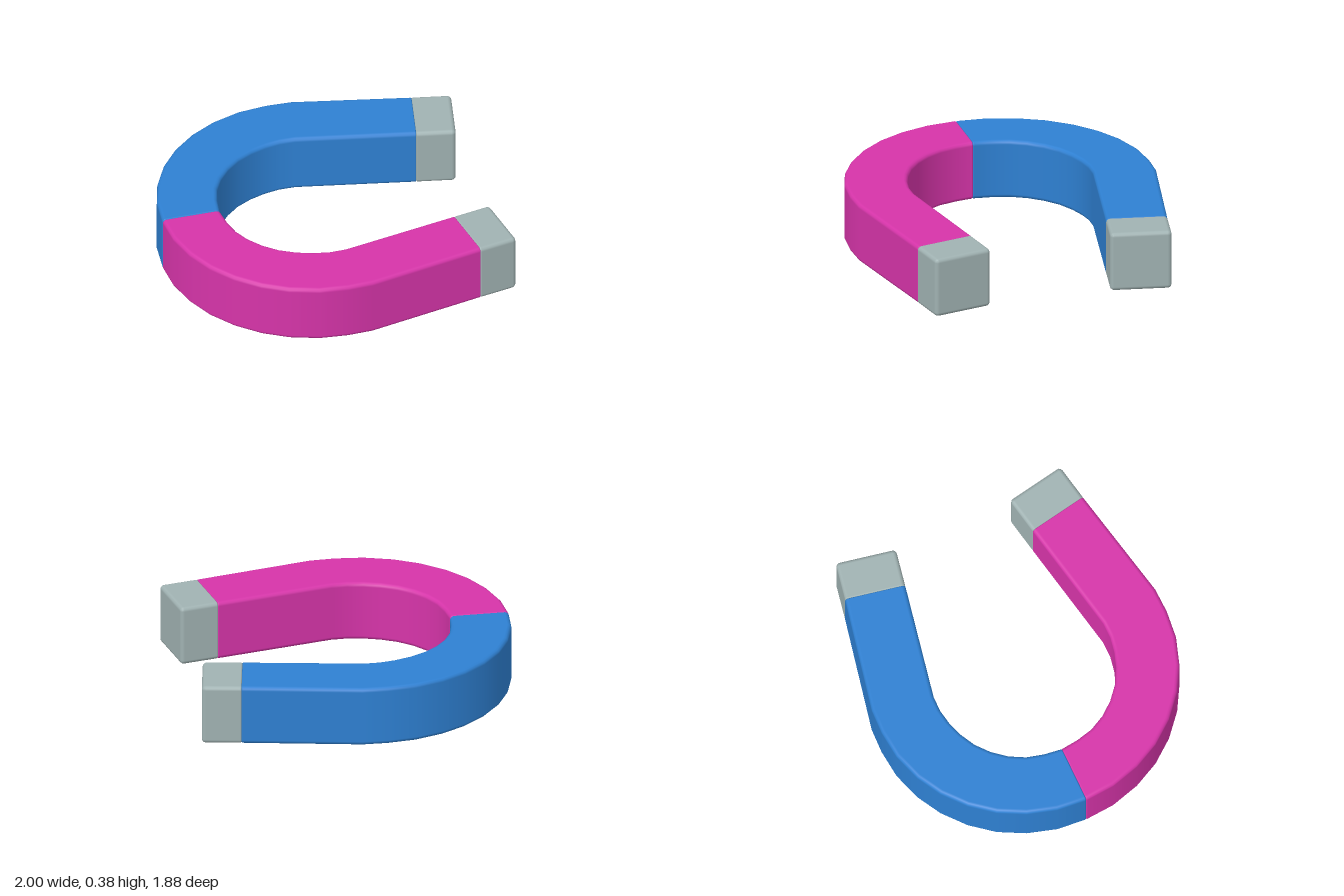
import * as THREE from 'three';

const HEIGHT = 0.375;
const EDGE = 0.025; // rounding of the long edges

// Outer and inner edge of one bent arm, as [outerX, outerZ, innerX, innerZ]
const ARM = [
  [-1, 0, -0.64, 0],
  [-0.985, -0.185, -0.627, -0.11],
  [-0.932, -0.365, -0.6, -0.215],
  [-0.85, -0.525, -0.55, -0.31],
  [-0.738, -0.665, -0.482, -0.393],
  [-0.6, -0.782, -0.4, -0.462],
  [-0.45, -0.866, -0.305, -0.512],
  [-0.275, -0.923, -0.21, -0.544],
  [-0.1, -0.941, -0.115, -0.561],
  [0.055, -0.936, -0.018, -0.56],
  [0.767, -0.787, 0.697, -0.42],
];
const TIP = [
  [0.767, -0.787, 0.697, -0.42],
  [1.002, -0.742, 0.932, -0.375],
];

// Rounded rectangle: list of [x, y, angle of normal]
function section(halfW, halfH, r) {
  const pts = [];
  [[1, 1], [-1, 1], [-1, -1], [1, -1]].forEach(([sx, sy], corner) => {
    for (let i = 0; i <= 3; i++) {
      const a = (corner + i / 3) * Math.PI / 2;
      pts.push([sx * (halfW - r) + r * Math.cos(a), sy * (halfH - r) + r * Math.sin(a), a]);
    }
  });
  return pts;
}

// Sweeps the section along the edge pairs, rounding both ends
function bar(edges, startR, endR, mirror) {
  const stations = edges.map(([ox, oz, ix, iz]) => {
    const w = Math.hypot(ox - ix, oz - iz);
    return { x: (ox + ix) / 2, z: (oz + iz) / 2, w: w / 2, ux: (ox - ix) / w, uz: (oz - iz) / w };
  });
  const rings = [];
  const last = stations.length - 1;
  const addEnd = (s, r, dir) => {
    for (let i = 0; i <= 3; i++) {
      const t = (dir < 0 ? 3 - i : i) / 3 * Math.PI / 2;
      rings.push({ s, shift: -dir * r * (1 - Math.sin(t)), inset: r * (1 - Math.cos(t)), tilt: dir * t });
    }
  };
  addEnd(stations[0], startR, -1);
  for (let i = 1; i < last; i++) rings.push({ s: stations[i], shift: 0, inset: 0, tilt: 0 });
  addEnd(stations[last], endR, 1);

  const pos = [], nor = [], idx = [];
  const flip = mirror ? -1 : 1;
  for (const { s, shift, inset, tilt } of rings) {
    const ax = -s.uz, az = s.ux; // direction along the bar
    const r = Math.max(EDGE - inset, 0.001);
    for (const [px, py, a] of section(s.w - inset, HEIGHT / 2 - inset, r)) {
      pos.push(s.x + s.ux * px + ax * shift, HEIGHT / 2 + py, flip * (s.z + s.uz * px + az * shift));
      const c = Math.cos(tilt), n = Math.sin(tilt);
      nor.push(c * Math.cos(a) * s.ux + n * ax, c * Math.sin(a), flip * (c * Math.cos(a) * s.uz + n * az));
    }
  }
  const N = 16;
  const tri = (a, b, c) => (mirror ? idx.push(a, c, b) : idx.push(a, b, c));
  for (let k = 0; k < rings.length - 1; k++) {
    for (let j = 0; j < N; j++) {
      const a = k * N + j, b = k * N + (j + 1) % N;
      tri(a, b, b + N);
      tri(a, b + N, a + N);
    }
  }
  // Flat end caps
  const e = (rings.length - 1) * N;
  for (let j = 1; j < N - 1; j++) {
    tri(0, j + 1, j);
    tri(e, e + j, e + j + 1);
  }
  const g = new THREE.BufferGeometry();
  g.setAttribute('position', new THREE.Float32BufferAttribute(pos, 3));
  g.setAttribute('normal', new THREE.Float32BufferAttribute(nor, 3));
  g.setIndex(idx);
  return g;
}

export function createModel() {
  const material = (name, color) => {
    const m = new THREE.MeshStandardMaterial({ color });
    m.name = name;
    return m;
  };
  const blue = material('blue', 0x2e80d2);
  const pink = material('pink', 0xd634a9);
  const grey = material('grey', 0xa0b2b2);

  const group = new THREE.Group();
  group.name = 'horseshoeMagnet';
  const add = (name, geometry, mat) => {
    const mesh = new THREE.Mesh(geometry, mat);
    mesh.name = name;
    group.add(mesh);
  };

  // Two curved halves and their metal tips, mirrored front to back
  for (const front of [false, true]) {
    const side = front ? 'front' : 'back';
    add(side + 'Arm', bar(ARM, 0.008, 0.006, front), front ? pink : blue);
    add(side + 'Tip', bar(TIP, 0.008, EDGE, front), grey);
  }
  return group;
}
